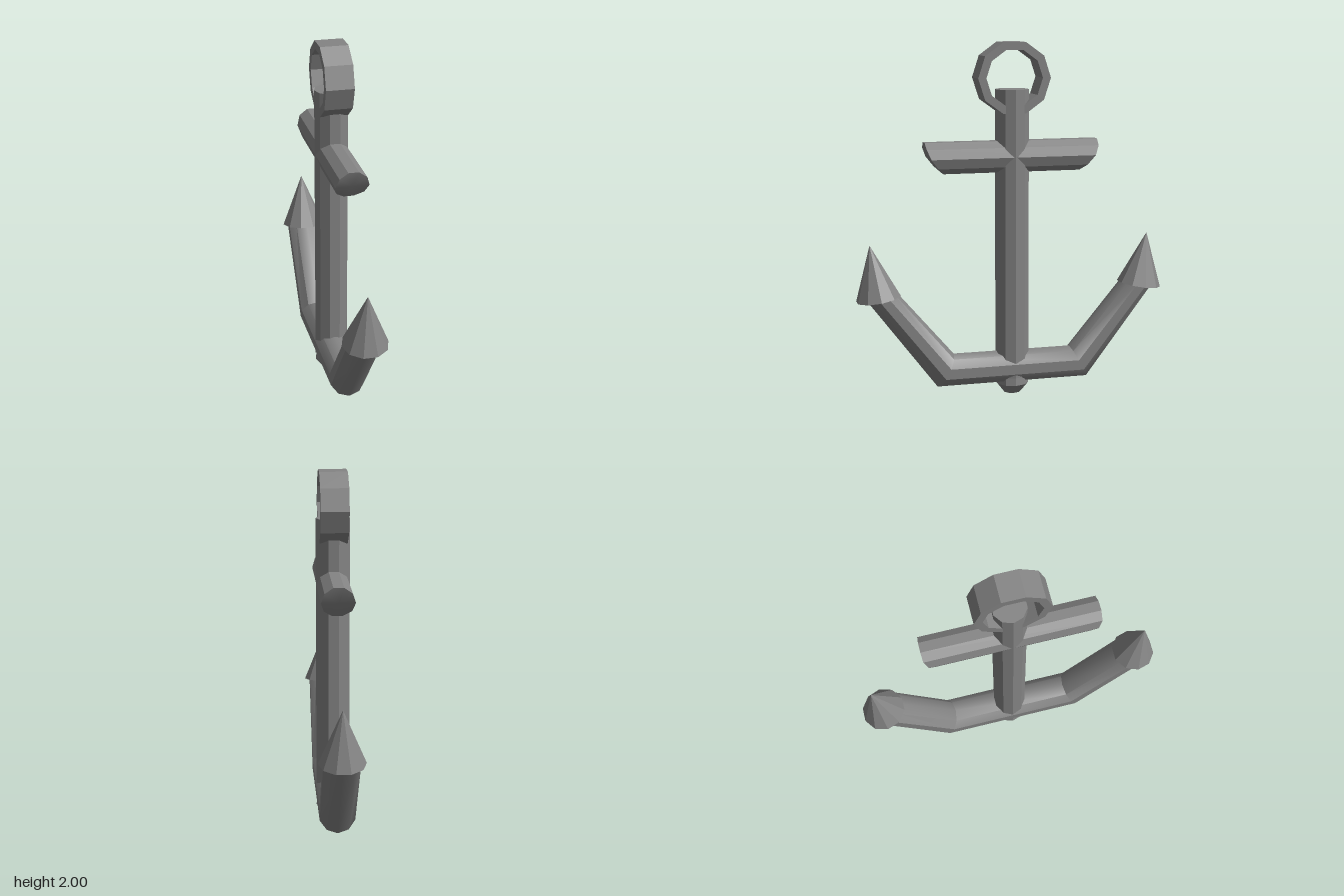
import * as THREE from 'three';
import { toCreasedNormals } from 'three/addons/utils/BufferGeometryUtils.js';

const SIDES = 10;
const FLAT = 0.02;
const SOFT = 0.61; // smooths bends below 35 degrees
const material = new THREE.MeshStandardMaterial({ color: 0x848484 });

function addPart(group, name, geometry, crease = FLAT) {
  const mesh = new THREE.Mesh(toCreasedNormals(geometry, crease), material);
  mesh.name = name;
  group.add(mesh);
  return mesh;
}

function lathe(points, phiStart = 0) {
  return new THREE.LatheGeometry(points.map(([r, y]) => new THREE.Vector2(r, y)), SIDES, phiStart);
}

// Bent arm: decagonal rings swept along z, each with its own tilted "up" vector
function armGeometry() {
  const half = [
    { z: 0.39, y: 0.152, upZ: -0.048, upY: 0.093 },
    { z: 0.755, y: 0.612, upZ: -0.089, upY: 0.013 },
  ];
  const mirrored = half.map((r) => ({ ...r, z: -r.z, upZ: -r.upZ })).reverse();
  const rings = [...mirrored, ...half];
  const positions = [];
  const index = [];
  for (const r of rings) {
    for (let j = 0; j < SIDES; j++) {
      const a = Math.PI / 2 + (j / SIDES) * Math.PI * 2;
      const s = Math.sin(a);
      positions.push(0.1036 * Math.cos(a), r.y + r.upY * s, r.z + r.upZ * s);
    }
  }
  for (let i = 0; i < rings.length - 1; i++) {
    for (let j = 0; j < SIDES; j++) {
      const k = (j + 1) % SIDES;
      const a = i * SIDES + j, b = i * SIDES + k;
      const c = b + SIDES, d = a + SIDES;
      index.push(a, b, c, a, c, d);
    }
  }
  const geometry = new THREE.BufferGeometry();
  geometry.setAttribute('position', new THREE.Float32BufferAttribute(positions, 3));
  geometry.setIndex(index);
  return geometry;
}

// Crossbar along z, with ends that curve inward towards the underside
function crossbarGeometry() {
  const r = 0.092;
  const geometry = new THREE.CylinderGeometry(r, r, 1, SIDES, 1, false, Math.PI / 2);
  geometry.rotateX(Math.PI / 2);
  const p = geometry.attributes.position;
  for (let i = 0; i < p.count; i++) {
    const drop = (0.0875 - p.getY(i)) / 0.175;
    p.setZ(i, Math.sign(p.getZ(i)) * (0.495 - 0.103 * drop * drop));
  }
  return geometry;
}

export function createModel() {
  const model = new THREE.Group();
  model.name = 'anchor';

  // Shaft, and the rounded knob at its foot
  addPart(model, 'shaft', lathe([[0, 0.1], [0.095, 0.1], [0.095, 1.74], [0, 1.74]], Math.PI / 2));
  addPart(model, 'knob', lathe(
    [[0, 0], [0.05, 0], [0.095, 0.055], [0.088, 0.115], [0, 0.14]], Math.PI / 2));

  addPart(model, 'crossbar', crossbarGeometry(), SOFT).position.set(0, 1.367, 0.005);
  addPart(model, 'arms', armGeometry(), SOFT);

  // Ring through the top of the shaft
  const ring = addPart(model, 'ring', lathe(
    [[0.16, -0.078], [0.206, -0.078], [0.206, 0.078], [0.16, 0.078], [0.16, -0.078]]));
  ring.rotation.z = Math.PI / 2;
  ring.position.set(0, 1.804, 0.003);

  // Pointed tips, leaning slightly outward
  for (const [name, side] of [['frontTip', 1], ['backTip', -1]]) {
    const tip = addPart(model, name,
      new THREE.ConeGeometry(0.127, 0.305, SIDES, 1, false, Math.PI / 2));
    tip.position.set(0, 0.743, side * 0.7875);
    tip.rotation.x = side * 0.147;
  }

  return model;
}
